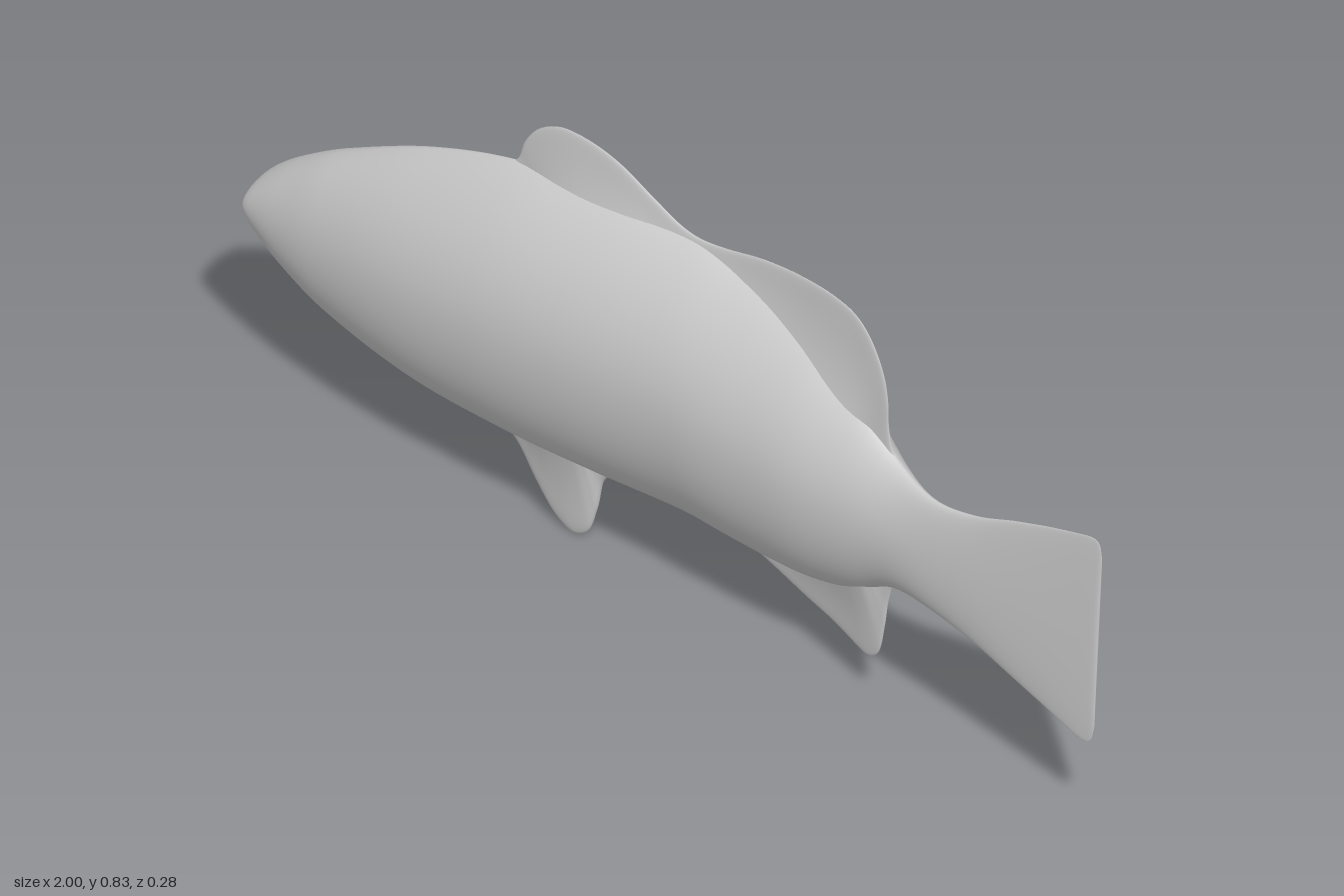
import * as THREE from 'three';

// Body stations from nose to tail: x, top y, bottom y, back z, front z
const STATIONS = [
  [-1, 0.385, 0.352, -0.045, 0.04], [-0.99, 0.41, 0.333, -0.06, 0.052], [-0.96, 0.443, 0.302, -0.072, 0.064],
  [-0.9, 0.49, 0.263, -0.08, 0.08], [-0.8, 0.555, 0.22, -0.09, 0.1], [-0.6, 0.655, 0.172, -0.12, 0.126],
  [-0.4, 0.72, 0.16, -0.135, 0.135], [-0.2, 0.738, 0.165, -0.142, 0.131], [0, 0.735, 0.175, -0.145, 0.122],
  [0.1, 0.72, 0.172, -0.143, 0.121], [0.2, 0.7, 0.175, -0.126, 0.118], [0.3, 0.668, 0.19, -0.098, 0.115],
  [0.4, 0.615, 0.225, -0.058, 0.105], [0.5, 0.548, 0.283, -0.01, 0.094], [0.6, 0.526, 0.295, 0.038, 0.089],
  [0.7, 0.541, 0.277, 0.052, 0.086], [0.8, 0.578, 0.245, 0.06, 0.083], [0.94, 0.623, 0.2, 0.067, 0.079],
  [0.97, 0.628, 0.196, 0.068, 0.078], [0.983, 0.618, 0.208, 0.07, 0.077], [0.988, 0.595, 0.235, 0.072, 0.075],
];

// Smooth interpolation of one station column at x
function station(x, c) {
  let i = 0;
  while (i < STATIONS.length - 2 && x > STATIONS[i + 1][0]) i++;
  const slope = (k) => {
    const a = STATIONS[Math.max(k - 1, 0)], b = STATIONS[Math.min(k + 1, STATIONS.length - 1)];
    return (b[c] - a[c]) / (b[0] - a[0]);
  };
  const p = STATIONS[i], q = STATIONS[i + 1], d = q[0] - p[0];
  const t = THREE.MathUtils.clamp((x - p[0]) / d, 0, 1), t2 = t * t, t3 = t2 * t;
  return (2 * t3 - 3 * t2 + 1) * p[c] + (t3 - 2 * t2 + t) * d * slope(i)
    + (3 * t2 - 2 * t3) * q[c] + (t3 - t2) * d * slope(i + 1);
}
const centreZ = (x) => (station(x, 3) + station(x, 4)) / 2;

// Skin a list of closed rings with one smooth surface
function loft(rings, name) {
  const n = rings[0].length, index = [];
  for (let i = 0; i < rings.length - 1; i++) {
    for (let j = 0; j < n; j++) {
      const k = (j + 1) % n, a = i * n + j, b = i * n + k;
      index.push(a, a + n, b, b, a + n, b + n);
    }
  }
  const geo = new THREE.BufferGeometry();
  geo.setAttribute('position', new THREE.Float32BufferAttribute(rings.flat(2), 3));
  geo.setIndex(index);
  geo.computeVertexNormals();
  const mesh = new THREE.Mesh(geo, new THREE.MeshStandardMaterial({ color: 0xcccccc, side: THREE.DoubleSide }));
  mesh.name = name;
  return mesh;
}

// Body running into the tail: lens-shaped sections, rounder at the nose
function bodyRing(x, scale = 1) {
  const top = station(x, 1), bottom = station(x, 2), z = centreZ(x);
  const halfW = (station(x, 4) - station(x, 3)) / 2, mid = (top + bottom) / 2, halfH = (top - bottom) / 2;
  const { smoothstep } = THREE.MathUtils;
  const lens = smoothstep(x, -1, -0.4) * (1 - smoothstep(x, 0.35, 0.65));
  const ring = [];
  for (let j = 0; j < 64; j++) {
    const a = (j / 64) * Math.PI * 2, c = Math.cos(a), s = Math.sin(a);
    const power = 1 + lens * (s > 0 ? 0.7 : 0.25);
    const y = mid + halfH * s * scale;
    const slant = (y - 0.41) * 0.05 * smoothstep(x, 0.85, 0.98);
    ring.push([x + slant, y, z + Math.sign(c) * Math.abs(c) ** power * halfW * scale]);
  }
  return ring;
}

function makeBody() {
  const rings = [bodyRing(-1, 0.001)];
  const steps = 130;
  for (let i = 0; i <= steps; i++) {
    // stations crowd together at both ends
    const t = i / steps, eased = THREE.MathUtils.lerp(t, (1 - Math.cos(Math.PI * t)) / 2, 0.9);
    rings.push(bodyRing(-1 + 1.988 * eased));
  }
  rings.push(bodyRing(0.988, 0.001));
  return loft(rings, 'bodyAndTail');
}

// Fin: thin blade from a root inside the body to the outline, flared at the root
function makeFin(name, outline, { side, centre, depth, thickness, flare }) {
  const curve = new THREE.CatmullRomCurve3(outline.map(([x, y]) => new THREE.Vector3(x, y, 0)));
  const rows = 14;
  const rings = curve.getSpacedPoints(100).map((edge) => {
    const rootX = THREE.MathUtils.lerp(edge.x, centre, 0.3);
    const rootY = side > 0 ? station(rootX, 1) - depth : station(rootX, 2) + depth;
    const point = (v, sign) => {
      const x = THREE.MathUtils.lerp(rootX, edge.x, v), y = THREE.MathUtils.lerp(rootY, edge.y, v);
      const h = (thickness + flare * (1 - v) ** 2) * Math.sqrt(1 - v ** 8);
      return [x, y, centreZ(x) + sign * h];
    };
    const ring = [];
    for (let r = 0; r <= rows; r++) ring.push(point(Math.sin((r / rows) * Math.PI / 2), 1));
    for (let r = rows - 1; r >= 0; r--) ring.push(point(Math.sin((r / rows) * Math.PI / 2), -1));
    return ring;
  });
  return loft(rings, name);
}

export function createModel() {
  const fish = new THREE.Group();
  fish.name = 'fish';
  fish.add(makeBody());

  fish.add(makeFin('dorsalFin', [
    [-0.43, 0.7], [-0.404, 0.725], [-0.39, 0.765], [-0.36, 0.805], [-0.31, 0.832], [-0.25, 0.834],
    [-0.18, 0.818], [-0.1, 0.778], [-0.04, 0.75], [0, 0.743], [0.06, 0.75], [0.15, 0.772], [0.25, 0.788],
    [0.33, 0.793], [0.39, 0.784], [0.43, 0.755], [0.464, 0.7], [0.475, 0.65], [0.477, 0.6],
    [0.492, 0.552], [0.525, 0.532], [0.56, 0.515],
  ], { side: 1, centre: 0.05, depth: 0.13, thickness: 0.006, flare: 0.05 }));

  // Lower fins run tail to head so their faces point outward
  fish.add(makeFin('analFin', [
    [0.56, 0.31], [0.525, 0.293], [0.493, 0.28], [0.476, 0.24], [0.465, 0.18], [0.447, 0.115], [0.42, 0.095],
    [0.39, 0.099], [0.33, 0.115], [0.25, 0.129], [0.16, 0.151], [0.09, 0.169], [0.03, 0.19],
  ], { side: -1, centre: 0.3, depth: 0.12, thickness: 0.006, flare: 0.05 }));

  fish.add(makeFin('pelvicFin', [
    [-0.14, 0.185], [-0.185, 0.166], [-0.213, 0.14], [-0.23, 0.07], [-0.25, 0.018], [-0.28, 0.002],
    [-0.318, 0.02], [-0.36, 0.07], [-0.4, 0.13], [-0.43, 0.157], [-0.47, 0.18],
  ], { side: -1, centre: -0.3, depth: 0.08, thickness: 0.01, flare: 0.04 }));
  return fish;
}
